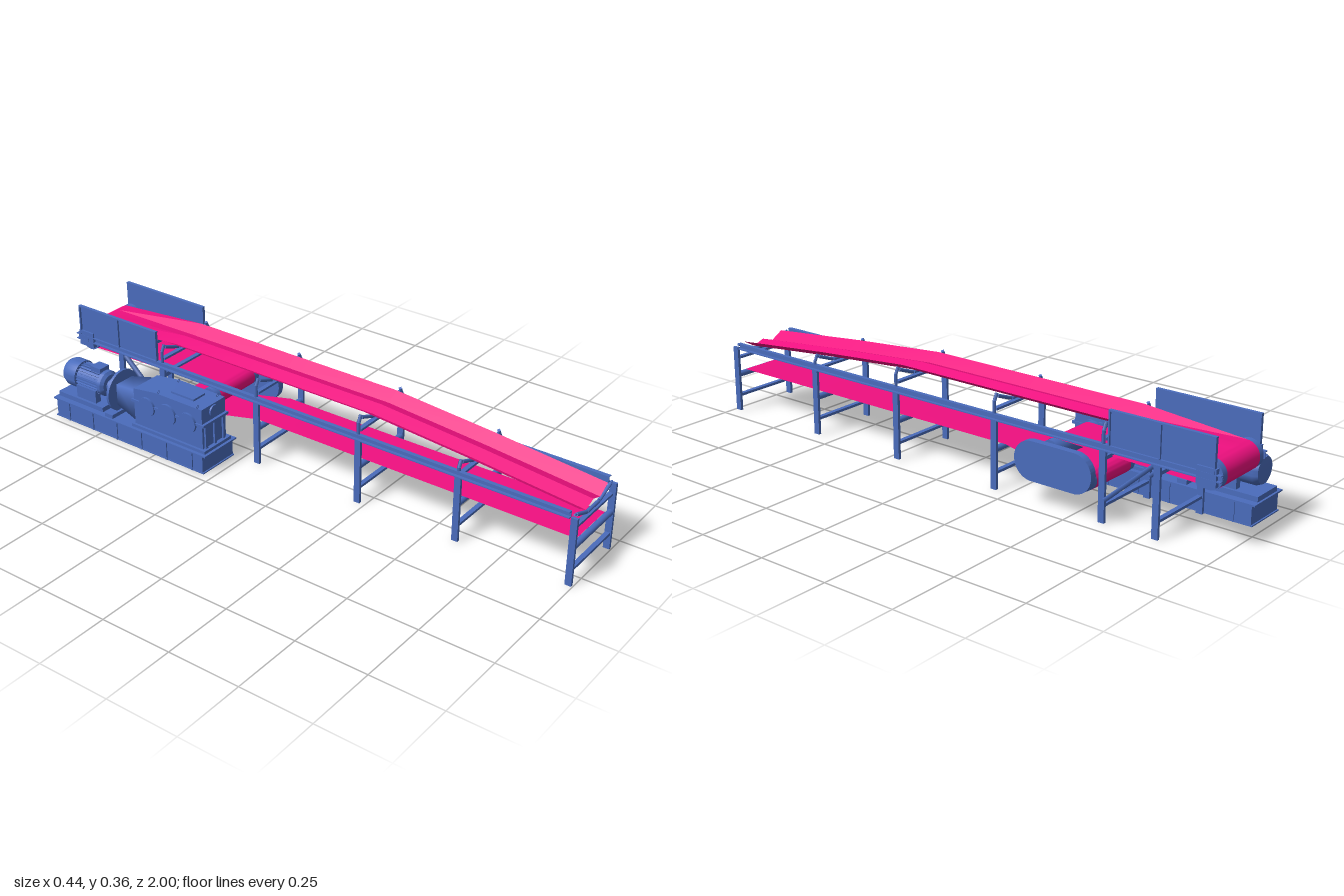
import * as THREE from 'three';
import { toCreasedNormals } from 'three/addons/utils/BufferGeometryUtils.js';

const blue = new THREE.MeshStandardMaterial({ color: 0x4a6cbc });
const pink = new THREE.MeshStandardMaterial({ color: 0xf01080, side: THREE.DoubleSide });
const CX = 0.07; // conveyor centre line
const V = (x, y, z) => new THREE.Vector3(x, y, z);

export function createModel() {
  const model = new THREE.Group();
  const section = (name) => {
    const g = new THREE.Group();
    g.name = name;
    model.add(g);
    return g;
  };
  const add = (parent, name, geo, mat = blue) => {
    const m = new THREE.Mesh(geo, mat);
    m.name = name;
    parent.add(m);
    return m;
  };
  // box given by its limits
  const box = (p, name, x0, x1, y0, y1, z0, z1) => {
    const m = add(p, name, new THREE.BoxGeometry(x1 - x0, y1 - y0, z1 - z0));
    m.position.set((x0 + x1) / 2, (y0 + y1) / 2, (z0 + z1) / 2);
    return m;
  };
  // round bar between two points
  const rod = (p, name, a, b, r, r2 = r, sides = 24) => {
    const m = add(p, name, new THREE.CylinderGeometry(r2, r, a.distanceTo(b), sides));
    m.position.copy(a).add(b).multiplyScalar(0.5);
    m.quaternion.setFromUnitVectors(V(0, 1, 0), b.clone().sub(a).normalize());
    return m;
  };
  // side plate: (z, y) outline pulled along x
  const plate = (p, name, shape, x0, x1) => {
    const geo = new THREE.ExtrudeGeometry(shape, { depth: x1 - x0, bevelEnabled: false, curveSegments: 20 });
    geo.rotateY(-Math.PI / 2); // shape x becomes z, depth becomes -x
    geo.translate(x1, 0, 0);
    return add(p, name, toCreasedNormals(geo, 0.5));
  };

  // belt: troughed carrying run, head wrap, S-wrap on the drive, return run
  const path = [[0.98, 0.248, 1], [0.59, 0.286, 1], [0.22, 0.316, 1], [-0.19, 0.316, 1], [-0.6, 0.316, 1]];
  const arc = (z, y, r, from, to, n = 16) => {
    for (let i = 0; i <= n; i++) {
      const t = from + (to - from) * i / n;
      path.push([z + r * Math.cos(t), y + r * Math.sin(t), 0]);
    }
  };
  arc(-0.952, 0.24, 0.047, Math.PI / 2, Math.PI * 1.5);
  arc(-0.4, 0.177, 0.034, Math.PI / 2, -Math.PI / 2);
  arc(-0.525, 0.11, 0.034, Math.PI / 2, Math.PI * 1.5);
  path.push([-0.21, 0.145, 0], [0.98, 0.145, 0]);
  const dips = [0, -0.026, -0.011, -0.026, 0];
  const pos = [], index = [];
  path.forEach(([z, y, trough], i) => {
    dips.forEach((d, j) => pos.push(CX - 0.09 + 0.045 * j, y + d * trough, z));
    if (i === 0) return;
    for (let j = 0; j < 4; j++) {
      const a = (i - 1) * 5 + j, b = a + 5;
      index.push(a, a + 1, b, a + 1, b + 1, b);
    }
  });
  const beltGeo = new THREE.BufferGeometry();
  beltGeo.setAttribute('position', new THREE.Float32BufferAttribute(pos, 3));
  beltGeo.setIndex(index);
  add(model, 'belt', toCreasedNormals(beltGeo, 0.4), pink);

  // pulleys with shafts
  const pulleys = section('pulleys');
  for (const [name, z, y, r] of [['headPulley', -0.952, 0.24, 0.046], ['upperDrivePulley', -0.4, 0.177, 0.033], ['lowerDrivePulley', -0.525, 0.11, 0.033]]) {
    rod(pulleys, name, V(-0.042, y, z), V(0.182, y, z), r, r, 40);
    rod(pulleys, name + 'Shaft', V(r > 0.04 ? -0.06 : -0.1, y, z), V(0.198, y, z), 0.01);
  }
  for (const [z, y] of [[-0.4, 0.177], [-0.525, 0.11]]) {
    rod(pulleys, 'coupling', V(-0.081, y, z), V(-0.073, y, z), 0.017);
    rod(pulleys, 'bearing', V(-0.06, y, z), V(-0.043, y, z), 0.014);
  }

  // gear cover joining the two drive pulleys
  const cover = new THREE.Shape();
  const cr = 0.065;
  cover.absarc(-0.515, 0.144, cr, Math.PI / 2, Math.PI * 1.5);
  cover.absarc(-0.357, 0.144, cr, -Math.PI / 2, Math.PI / 2);
  plate(section('driveCover'), 'driveGearCover', cover, 0.198, 0.222);

  // frame: rails, posts, cross members, side boards
  const frame = section('frame');
  for (const s of [-1, 1]) {
    const sideBox = (name, w0, w1, y0, y1, z0, z1) =>
      box(frame, name, CX + (s > 0 ? w0 : -w1), CX + (s > 0 ? w1 : -w0), y0, y1, z0, z1);
    sideBox('rail', 0.116, 0.119, 0.23, 0.252, -1, 0.97);
    sideBox('railTopFlange', 0.116, 0.13, 0.249, 0.252, -1, 0.97);
    sideBox('railBottomFlange', 0.116, 0.13, 0.23, 0.233, -1, 0.97);
    sideBox('skirtBoard', 0.119, 0.123, 0.252, 0.363, -0.98, -0.62);
    sideBox('skirtTopEdge', 0.118, 0.13, 0.358, 0.363, -0.98, -0.62);
    for (const z of [-0.98, -0.8, -0.625]) sideBox('skirtRib', 0.119, 0.13, 0.252, 0.36, z, z + 0.005);
    sideBox('headBearing', 0.114, 0.129, 0.212, 0.268, -0.985, -0.92);
    for (const z of [0.985, 0.59, 0.22, -0.19, -0.6, -0.79])
      sideBox('post', 0.117, 0.127, 0, z > 0.9 ? 0.235 : 0.232, z - 0.011, z + 0.011);
    // diagonal braces at the head end
    const x = CX + s * 0.121;
    const brace = rod(frame, 'diagonalBrace', V(x, 0.075, -0.61), V(x, 0.225, -0.775), 0.009, 0.009, 4);
    brace.geometry.rotateY(Math.PI / 4);
  }
  for (const z of [0.985, 0.59, 0.22, -0.19, -0.6, -0.79]) {
    box(frame, 'lowerCrossbar', CX - 0.118, CX + 0.118, 0.051, 0.06, z - 0.008, z + 0.008);
    if (z > -0.5) rod(frame, 'returnRoller', V(CX - 0.117, 0.132, z), V(CX + 0.117, 0.132, z), 0.0105);
    else box(frame, 'upperCrossbar', CX - 0.118, CX + 0.118, 0.2, 0.212, z - 0.008, z + 0.008);
  }

  // three-roll idlers under the belt
  const idlers = section('idlers');
  for (const [z, edge] of path.slice(0, 5)) {
    const y = edge - 0.037;
    rod(idlers, 'centreRoll', V(CX - 0.035, y, z), V(CX + 0.035, y, z), 0.006);
    for (const s of [-1, 1]) {
      const outer = V(CX + s * 0.106, y + 0.026, z);
      rod(idlers, 'wingRoll', V(CX + s * 0.04, y + 0.001, z), outer, 0.006);
      rod(idlers, 'rollPin', outer, V(CX + s * 0.118, y + 0.031, z), 0.003);
      if (edge < 0.26) continue;
      // bracket rising from the rail
      rod(idlers, 'bracketArm', V(CX + s * 0.122, 0.25, z), V(CX + s * 0.122, y + 0.015, z), 0.007, 0.007, 4);
      rod(idlers, 'bracketTip', V(CX + s * 0.122, y + 0.012, z), V(CX + s * 0.11, y + 0.036, z), 0.007, 0.007, 4);
    }
    box(idlers, 'idlerCrossbar', CX - 0.118, CX + 0.118, y - 0.018, y - 0.01, z - 0.008, z + 0.008);
  }

  // drive base: tray with flanges and ribs
  const base = section('driveBase');
  const MX = -0.142;
  for (const x of [-0.218, -0.066]) box(base, 'baseWall', x, x + 0.005, 0, 0.068, -0.96, -0.29);
  for (const z of [-0.96, -0.72, -0.295]) box(base, 'baseEnd', -0.218, -0.062, 0, 0.068, z, z + 0.005);
  box(base, 'baseTop', -0.222, -0.058, 0.066, 0.071, -0.972, -0.275);
  box(base, 'baseFloorFlange', -0.22, -0.06, 0, 0.004, -0.965, -0.285);
  for (let i = 0; i < 6; i++) {
    const z = -0.9 + i * 0.113;
    for (const x of [-0.222, -0.062]) box(base, 'baseRib', x, x + 0.004, 0, 0.066, z - 0.003, z + 0.003);
  }
  box(base, 'motorPlinth', -0.2, -0.085, 0.071, 0.088, -0.965, -0.755);

  // gearbox
  const gearbox = section('gearbox');
  const side = new THREE.Shape();
  [[-0.3, 0.08], [-0.3, 0.229], [-0.5, 0.229], [-0.6, 0.215], [-0.6, 0.08]].forEach(([z, y], i) =>
    i ? side.lineTo(z, y) : side.moveTo(z, y));
  plate(gearbox, 'gearboxCase', side, -0.201, -0.082);
  box(gearbox, 'splitFlange', -0.206, -0.078, 0.166, 0.175, -0.61, -0.29);
  box(gearbox, 'gearboxFoot', -0.21, -0.074, 0.071, 0.082, -0.61, -0.285);
  box(gearbox, 'inspectionCover', MX - 0.027, MX + 0.03, 0.228, 0.236, -0.46, -0.36);
  for (const x of [-0.187, -0.142, -0.097])
    for (const z of [-0.297, -0.603]) box(gearbox, 'caseRib', x - 0.005, x + 0.005, 0.08, 0.168, z - 0.004, z + 0.004);
  rod(gearbox, 'endCap', V(MX, 0.204, -0.302), V(MX, 0.204, -0.294), 0.021, 0.021, 32);
  [[-0.36, 0.036], [-0.45, 0.038], [-0.54, 0.034]].forEach(([z, r]) => {
    rod(gearbox, 'bearingCap', V(-0.209, 0.165, z), V(-0.199, 0.165, z), r, r, 32);
    rod(gearbox, 'innerCap', V(-0.084, 0.165, z), V(-0.076, 0.165, z), r * 0.8, r * 0.8, 32);
  });
  for (const x of [-0.197, -0.096])
    for (const z of [-0.32, -0.49]) {
      const eye = add(gearbox, 'liftingEye', new THREE.TorusGeometry(0.0045, 0.0015, 8, 16));
      eye.position.set(x, 0.235, z);
    }
  // tapered input neck and coupling discs
  const neck = rod(gearbox, 'inputNeck', V(MX, 0.15, -0.595), V(MX, 0.15, -0.7), 0.082, 0.055, 4);
  neck.geometry.rotateY(Math.PI / 4);
  rod(gearbox, 'brakeDisc', V(MX, 0.15, -0.705), V(MX, 0.15, -0.715), 0.075, 0.075, 40);
  rod(gearbox, 'inputCoupling', V(MX, 0.15, -0.69), V(MX, 0.15, -0.775), 0.022, 0.022);
  box(gearbox, 'couplingStand', -0.215, -0.068, 0.071, 0.085, -0.73, -0.695);

  // electric motor with cooling fins and fan cowl
  const motor = section('motor');
  const profile = [[0, -0.765], [0.036, -0.765], [0.046, -0.775], [0.046, -0.79], [0.04, -0.79], [0.04, -0.89],
    [0.051, -0.89], [0.051, -0.935], [0.043, -0.952], [0, -0.956]].map(([r, z]) => new THREE.Vector2(r, -z));
  const body = new THREE.LatheGeometry(profile, 36);
  body.rotateX(-Math.PI / 2);
  add(motor, 'motorBody', toCreasedNormals(body, 0.5)).position.set(MX, 0.153, 0);
  for (let i = 0; i < 24; i++) {
    const fin = add(motor, 'coolingFin', new THREE.BoxGeometry(0.009, 0.002, 0.1).translate(0.042, 0, 0));
    fin.position.set(MX, 0.153, -0.84);
    fin.rotation.z = i * Math.PI / 12;
  }
  box(motor, 'terminalBox', MX - 0.022, MX + 0.022, 0.19, 0.212, -0.835, -0.79);
  for (const s of [-1, 1]) box(motor, 'motorFoot', MX + s * 0.036 - 0.012, MX + s * 0.036 + 0.012, 0.086, 0.135, -0.885, -0.795);

  return model;
}
